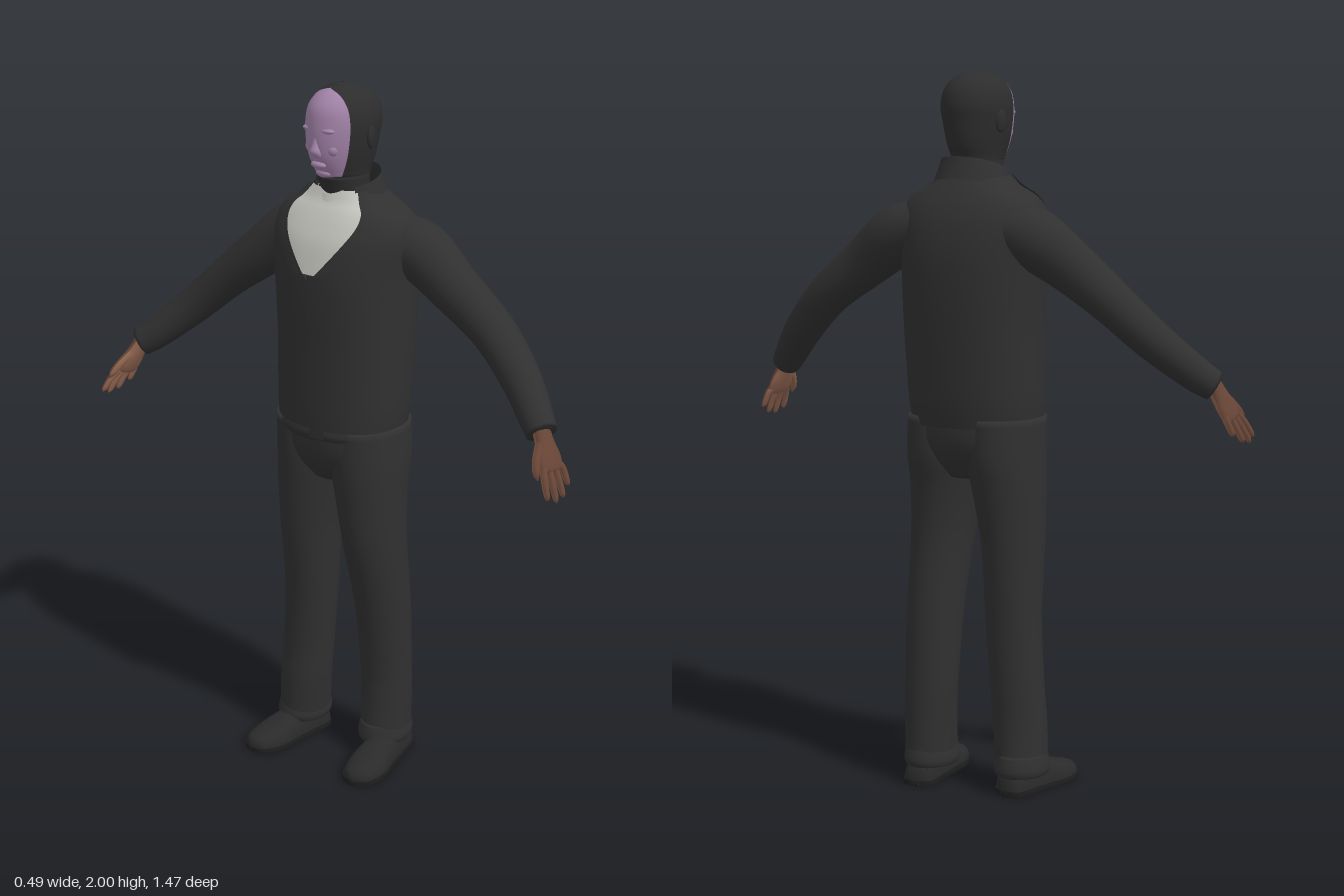
import * as THREE from 'three';

const mat = (name, color) => {
  const m = new THREE.MeshStandardMaterial({ color, side: THREE.DoubleSide });
  m.name = name;
  return m;
};

// Catmull-Rom subdivision of rows of numbers
function refine(rows, sub) {
  const out = [], n = rows.length - 1;
  for (let i = 0; i < n; i++) {
    const [p, a, b, q] = [rows[Math.max(i - 1, 0)], rows[i], rows[i + 1], rows[Math.min(i + 2, n)]];
    for (let s = 0; s < sub; s++) {
      const t = s / sub;
      out.push(a.map((_, k) => a[k] + 0.5 * t * (b[k] - p[k] + t * (2 * p[k] - 5 * a[k] + 4 * b[k] - q[k]
        + t * (3 * (a[k] - b[k]) + q[k] - p[k])))));
    }
  }
  out.push(rows[n]);
  return out;
}

// Loft of superellipse sections [x, y, z, ru, rv]; flat sections are horizontal, others follow the path.
// arc(section) gives the angle range; the front (-x) of a flat section is at PI.
function loft(rows, { flat = false, seg = 32, sub = 4, power = 2, arc = null, yaw = 0, grow = 0, tilt = 0, yMax = 9, cap = !arc } = {}) {
  if (flat) rows = [...rows].sort((a, b) => a[1] - b[1]);
  const S = refine(rows, sub), pos = [], idx = [], cols = arc ? seg + 1 : seg;
  const X = new THREE.Vector3(1, 0, 0), P = S.map(s => new THREE.Vector3(s[0], s[1], s[2]));
  const put = v => pos.push(v.x, Math.min(Math.max(v.y, 0), yMax), v.z);
  const pw = c => Math.sign(c) * Math.abs(c) ** (2 / power);
  S.forEach((s, i) => {
    const t = flat ? new THREE.Vector3(0, 1, 0)
      : P[Math.min(i + 1, S.length - 1)].clone().sub(P[Math.max(i - 1, 0)]).normalize();
    const ref = Math.abs(t.x) > 0.8 ? new THREE.Vector3(0, 0, 1) : X;
    const u = ref.clone().addScaledVector(t, -ref.dot(t)).normalize();
    if (flat) u.applyAxisAngle(t, yaw);
    const v = t.clone().cross(u);
    const [a, b] = arc ? arc(s) : [0, 2 * Math.PI];
    for (let j = 0; j < cols; j++) {
      const th = a + (b - a) * j / seg, du = (s[3] + grow) * pw(Math.cos(th));
      const q = P[i].clone().addScaledVector(u, du).addScaledVector(v, (s[4] + grow) * pw(Math.sin(th)));
      q.y += tilt * du;
      put(q);
    }
  });
  for (let i = 0; i < S.length - 1; i++) for (let j = 0; j < seg; j++) {
    const a = i * cols + j, b = i * cols + (j + 1) % cols;
    idx.push(a, b, b + cols, a, b + cols, a + cols);
  }
  if (cap) {
    const c = S.length * cols, top = (S.length - 1) * cols;
    put(P[0]); put(P[P.length - 1]);
    for (let j = 0; j < seg; j++) idx.push(c, (j + 1) % cols, j, c + 1, top + j, top + (j + 1) % cols);
  }
  const g = new THREE.BufferGeometry();
  g.setAttribute('position', new THREE.Float32BufferAttribute(pos, 3));
  g.setIndex(idx);
  g.computeVertexNormals();
  return g;
}

export function createModel() {
  const root = new THREE.Group();
  const cloth = mat('charcoal cloth', 0x303031), dark = mat('dark hair', 0x2d2d2d), face = mat('mauve face', 0xa283a8);
  const white = mat('shirt white', 0xc6c6c0), skin = mat('brown skin', 0x694637), palmMat = mat('light palm', 0x8f6450);
  const shoeMat = mat('shoe black', 0x2a2a2b), soleMat = mat('sole black', 0x1e1e1e);
  const add = (name, geo, m) => {
    const mesh = new THREE.Mesh(geo, m);
    mesh.name = name;
    root.add(mesh);
    return mesh;
  };
  const blob = (name, m, x, y, z, rx, ry, rz) => {
    const b = add(name, new THREE.SphereGeometry(1, 20, 14), m);
    b.position.set(x, y, z);
    b.scale.set(rx, ry, rz);
    return b;
  };

  // Jacket, with the shirt filling a V at the front
  const torso = [
    [.05, 1.035, -.02, .148, .185], [.055, 1.1, -.02, .155, .192], [.06, 1.2, -.02, .16, .195],
    [.065, 1.3, -.02, .165, .197], [.068, 1.4, -.022, .17, .2], [.07, 1.5, -.025, .17, .205],
    [.073, 1.58, -.027, .155, .213], [.075, 1.63, -.027, .135, .205], [.075, 1.665, -.026, .115, .175],
    [.075, 1.69, -.025, .098, .13], [.07, 1.72, -.022, .08, .095]];
  const body = { flat: true, power: 2.3, yaw: .1, seg: 48 };
  const vee = y => Math.max(0, Math.min(.95, (y - 1.48) * 3.6));
  add('jacketBody', loft(torso, { ...body, arc: s => [vee(s[1]) - Math.PI, Math.PI - vee(s[1])] }), cloth);
  add('shirtFront', loft(torso.slice(5), { ...body, seg: 16, arc: s => [Math.PI - vee(s[1]), Math.PI + vee(s[1])] }), white);
  for (const side of [-1, 1]) {
    add('lapel', loft(torso.slice(5), {
      ...body, seg: 8, grow: .008,
      arc: s => {
        const w = vee(s[1]), a = Math.PI + side * w, b = a + side * Math.min(.3, w * .8);
        return side > 0 ? [a, b] : [b, a];
      }
    }), cloth);
  }
  add('jacketFrontEdge', loft(torso.slice(0, 6), { ...body, seg: 6, grow: .007, arc: () => [Math.PI, Math.PI + .22] }), cloth);
  add('jacketHem', loft([[.05, 1.03, -.02, .14, .18], [.05, 1.05, -.02, .152, .188], [.053, 1.075, -.02, .15, .187]],
    { flat: true, power: 2.3, yaw: .1, tilt: .06 }), cloth);

  // Collars
  add('jacketCollar', loft([[.072, 1.68, -.021, .1, .115], [.07, 1.72, -.021, .089, .102], [.07, 1.745, -.02, .082, .093]],
    { flat: true, tilt: .28, arc: () => [-2.25, 2.25] }), cloth);
  add('shirtCollar', loft([[.05, 1.67, -.02, .1, .085], [.058, 1.7, -.02, .088, .08], [.062, 1.73, -.02, .08, .075]],
    { flat: true, tilt: .3, arc: () => [Math.PI - 1.15, Math.PI + 1.15] }), white);

  // Head and neck, divided at a vertical line into face and hair
  const head = [
    [.055, 1.64, -.02, .07, .068], [.055, 1.7, -.019, .068, .066], [.05, 1.74, -.018, .074, .066],
    [.047, 1.765, -.018, .083, .067], [.046, 1.79, -.018, .096, .073], [.045, 1.82, -.018, .106, .08],
    [.046, 1.86, -.018, .112, .087], [.05, 1.9, -.018, .115, .091], [.05, 1.94, -.018, .108, .084],
    [.05, 1.97, -.018, .086, .065], [.047, 1.99, -.018, .05, .038], [.045, 2, -.018, .003, .003]];
  const split = s => s[1] < 1.757 ? Math.PI : Math.acos(Math.max(-1, Math.min(1, (-.008 - s[0]) / s[3])));
  add('hairAndNeck', loft(head, { flat: true, seg: 40, arc: s => [-split(s), split(s)] }), dark);
  add('face', loft(head, { flat: true, seg: 24, arc: s => [split(s), 2 * Math.PI - split(s)] }), face);
  add('nose', loft([[-.052, 1.815, -.015, .014, .017], [-.062, 1.83, -.015, .016, .016],
    [-.06, 1.85, -.015, .011, .01], [-.055, 1.88, -.015, .008, .009]], { flat: true, seg: 16 }), face);
  blob('lips', face, -.05, 1.792, -.016, .013, .01, .026);
  blob('chin', face, -.03, 1.766, -.017, .013, .012, .026);
  for (const s of [-1, 1]) {
    blob('brow', face, -.048, 1.887, -.017 + s * .03, .014, .008, .026);
    blob('cheek', face, -.035, 1.835, -.017 + s * .038, .016, .018, .018);
    blob('ear', dark, .062, 1.862, -.018 + s * .088, .018, .032, .009).rotation.y = s * .3;
  }

  // Sleeves
  const arms = {
    left: [[.12, 1.58, .09, .09, .07], [.148, 1.55, .18, .085, .083], [.153, 1.475, .29, .07, .072], [.165, 1.38, .42, .064, .06],
      [.15, 1.28, .53, .056, .054], [.12, 1.2, .61, .047, .047], [.105, 1.165, .645, .042, .042]],
    right: [[.09, 1.58, -.14, .09, .07], [.075, 1.55, -.225, .088, .083], [.035, 1.475, -.32, .07, .072], [.005, 1.385, -.43, .063, .06],
      [-.035, 1.29, -.53, .057, .054], [-.105, 1.2, -.62, .047, .047], [-.14, 1.165, -.662, .04, .042]]
  };
  for (const side in arms) add(side + 'Sleeve', loft(arms[side], { seg: 24 }), cloth);

  // Hands: the back and the palm differ in colour
  const hand = (side, W, D, back) => {
    const at = (k, dx, du, r1, r2) => [W[0] + D[0] * k + dx, W[1] + D[1] * k + du, W[2] + D[2] * k, r1, r2];
    const limb = (name, rows, seg) => {
      add(name + 'Back', loft(rows, { seg, arc: () => [back, back + Math.PI] }), skin);
      add(name + 'Palm', loft(rows, { seg, arc: () => [back + Math.PI, back + 2 * Math.PI] }), palmMat);
    };
    limb(side + 'Hand', [at(-.1, 0, 0, .026, .022), at(.12, 0, 0, .03, .021), at(.35, 0, 0, .042, .019),
      at(.52, 0, 0, .041, .015), at(.58, 0, 0, .025, .008), at(.6, 0, 0, .001, .001)], 12);
    [.92, 1, .97, .84].forEach((len, i) => {
      const o = (i - 1.5) * .02;
      limb(side + 'Finger' + (i + 1), [at(.48, o, 0, .01, .011), at(.72 * len, o * 1.35, .003, .0095, .01),
        at(.94 * len, o * 1.5, 0, .008, .008), at(len, o * 1.55, -.002, .001, .001)], 6);
    });
    limb(side + 'Thumb', [at(.12, -.015, 0, .014, .014), at(.3, -.045, -.005, .012, .012),
      at(.46, -.058, -.008, .01, .01), at(.56, -.06, -.01, .001, .001)], 6);
  };
  hand('left', [.105, 1.165, .645], [-.02, -.16, .085], 0);
  hand('right', [-.142, 1.16, -.662], [-.06, -.15, -.068], Math.PI);

  // Trousers
  add('trouserSeat', loft([[.05, .89, -.02, .09, .07], [.05, .94, -.02, .125, .15], [.052, 1, -.02, .142, .185],
    [.052, 1.08, -.02, .14, .185]], { flat: true, power: 2.3 }), cloth);
  const legs = {
    left: [[.06, 1.06, .08, .13, .095], [.06, .95, .08, .128, .103], [.055, .85, .087, .113, .095], [.06, .7, .097, .1, .085],
      [.09, .5, .101, .085, .08], [.108, .3, .101, .076, .076], [.11, .2, .103, .078, .073], [.106, .055, .103, .084, .068]],
    right: [[.048, 1.06, -.118, .135, .095], [.047, .95, -.115, .132, .1], [.04, .85, -.122, .118, .094], [.035, .7, -.131, .098, .084],
      [.04, .5, -.136, .078, .08], [.038, .3, -.148, .075, .077], [.033, .2, -.154, .078, .076], [.038, .055, -.165, .082, .069]]
  };
  for (const side in legs) {
    add(side + 'TrouserLeg', loft(legs[side], { flat: true }), cloth);
    const [x, y, z, rx, rz] = legs[side][7];
    add(side + 'TrouserCuff', loft([[x, y, z, rx, rz], [x, y + .02, z, rx + .006, rz + .005], [x, y + .06, z, rx - .003, rz - .002]],
      { flat: true }), cloth);
  }

  // Shoes, lofted from heel to toe and flattened on the ground
  const shoe = (side, heel, toe) => {
    const profile = [[0, .012, .02], [.06, .042, .06], [.3, .048, .078], [.52, .053, .07], [.72, .06, .05], [.9, .047, .036], [.97, .028, .026], [1, .004, .01]];
    const rows = (w, lift) => profile.map(([t, ru, rv]) =>
      [heel[0] + (toe[0] - heel[0]) * t, lift, heel[1] + (toe[1] - heel[1]) * t, ru + w, rv]);
    add(side + 'Shoe', loft(rows(0, .012), { power: 2.3 }), shoeMat);
    add(side + 'Sole', loft(rows(.004, .006), { power: 4, yMax: .016 }), soleMat);
  };
  shoe('left', [.19, .098], [-.115, .178]);
  shoe('right', [.112, -.155], [-.185, -.176]);
  return root;
}
